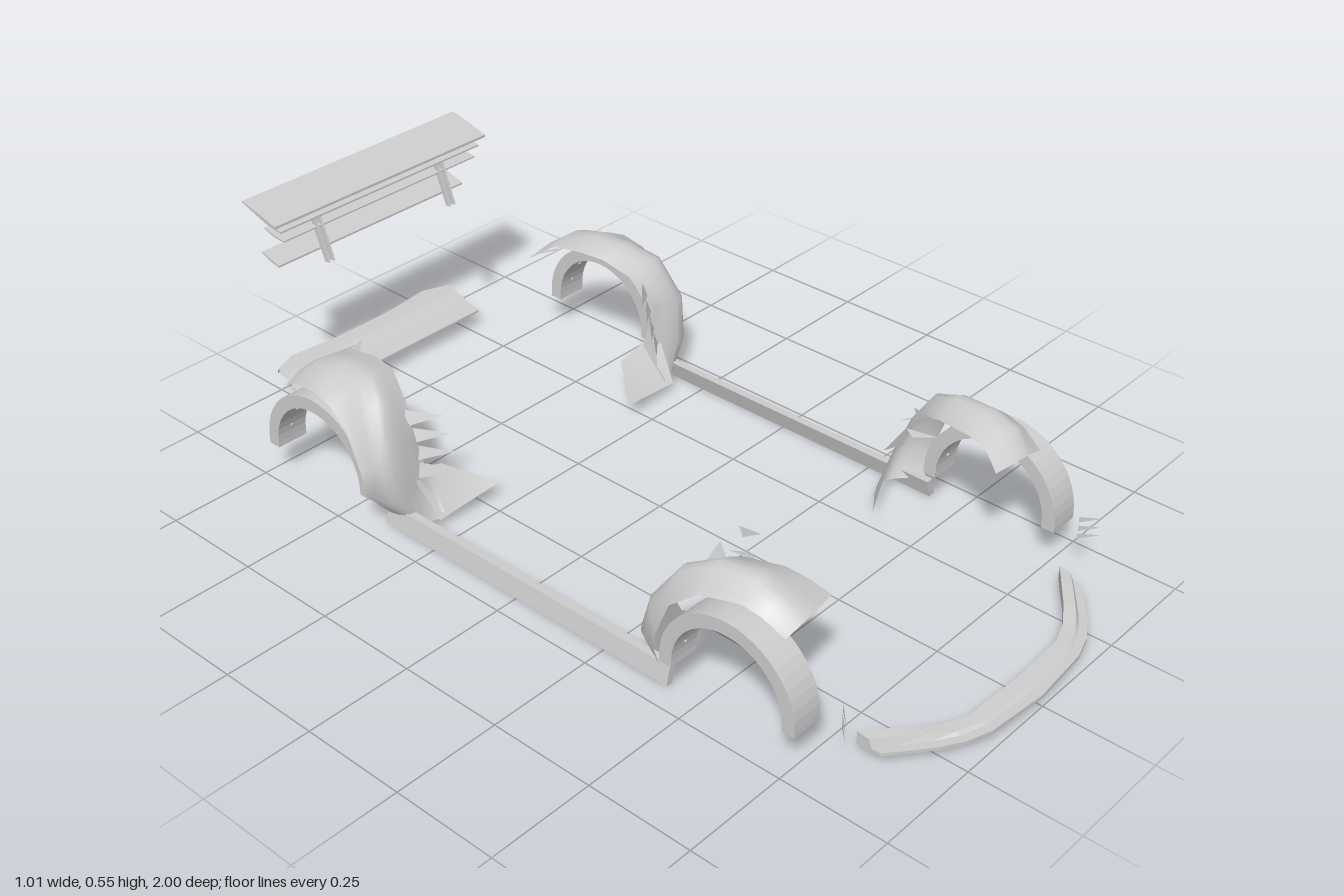
import * as THREE from 'three';

const grey = new THREE.MeshStandardMaterial({ color: 0xcccccc });
grey.name = 'primer grey';
grey.side = THREE.DoubleSide;

function part(name, geometry, parent) {
  const mesh = new THREE.Mesh(geometry, grey);
  mesh.name = name;
  parent.add(mesh);
  return mesh;
}

// Surface through rows of points, smooth or faceted
function skin(rows, smooth) {
  const w = rows[0].length, index = [];
  for (let i = 0; i < rows.length - 1; i++) {
    for (let j = 0; j < w - 1; j++) {
      const a = i * w + j, b = a + w;
      index.push(a, b, a + 1, a + 1, b, b + 1);
    }
  }
  let g = new THREE.BufferGeometry();
  g.setAttribute('position', new THREE.Float32BufferAttribute(rows.flat(2), 3));
  g.setIndex(index);
  if (!smooth) g = g.toNonIndexed();
  g.computeVertexNormals();
  return g;
}

// Each row is lip, crown, inner edge; curved across its width
function fenderShell(rows) {
  return skin(rows.map(row =>
    new THREE.CatmullRomCurve3(row.map(p => new THREE.Vector3(...p)))
      .getPoints(8).map(p => p.toArray())), true);
}

// Extrude a [z, y] outline along x, from x0 to x1
function extrudeX(outline, x0, x1) {
  const shape = new THREE.Shape(outline.map(([z, y]) => new THREE.Vector2(-z, y)));
  const g = new THREE.ExtrudeGeometry(shape, { depth: x1 - x0, bevelEnabled: false });
  return g.rotateY(Math.PI / 2).translate(x0, 0, 0);
}

// Wheel arch flare with a row of rivets on its inner face
function archFlare(name, z, x0, x1, parent) {
  const flare = new THREE.Group();
  flare.name = name;
  const yc = 0.097, ro = 0.168, ri = 0.137, outline = [], inner = [];
  outline.push([z - ro, 0.083]);
  for (let i = 0; i <= 24; i++) {
    const a = Math.PI * (1 - i / 24), c = Math.cos(a), s = Math.sin(a);
    outline.push([z + ro * c, yc + ro * s]);
    inner.unshift([z + ri * c, yc + ri * s]);
  }
  outline.push([z + ro, 0.083], [z + ri, 0.083], ...inner, [z - ri, 0.083]);
  part('archBand', extrudeX(outline, x0, x1), flare);
  for (let i = 0; i < 7; i++) {
    const a = Math.PI * (i + 0.5) / 7;
    const rivet = part('rivet', new THREE.CylinderGeometry(0.004, 0.004, 0.004, 8), flare);
    rivet.position.set((x0 + x1) / 2, yc + (ri - 0.001) * Math.sin(a), z + (ri - 0.001) * Math.cos(a));
    rivet.rotation.x = Math.PI / 2 - a;
  }
  parent.add(flare);
}

// Flat pointed tabs along a fender's inner edge
function tabs(name, list, parent) {
  for (const tri of list) {
    const g = new THREE.BufferGeometry();
    g.setAttribute('position', new THREE.Float32BufferAttribute(tri.flat(), 3));
    g.computeVertexNormals();
    part(name, g, parent);
  }
}

function buildSide(name) {
  const side = new THREE.Group();
  side.name = name;

  archFlare('frontFlare', 0.59, 0.395, 0.47, side);
  archFlare('rearFlare', -0.567, 0.41, 0.488, side);

  part('frontFender', fenderShell([
    [[.42, .25, .69], [.36, .267, .695], [.27, .262, .68]],
    [[.43, .28, .64], [.38, .305, .65], [.29, .29, .64]],
    [[.435, .29, .594], [.38, .326, .594], [.30, .30, .59]],
    [[.45, .273, .503], [.39, .32, .503], [.32, .29, .50]],
    [[.46, .22, .438], [.41, .285, .43], [.36, .25, .43]],
    [[.465, .134, .406], [.43, .19, .365], [.38, .17, .375]],
    [[.46, .09, .40], [.42, .09, .33], [.34, .10, .365]],
    [[.44, .037, .396], [.38, .022, .325], [.25, .042, .395]],
  ]), side);

  part('rearFender', fenderShell([
    [[.46, .24, -.69], [.40, .262, -.695], [.27, .268, -.67]],
    [[.475, .273, -.636], [.40, .305, -.636], [.32, .295, -.63]],
    [[.485, .289, -.556], [.40, .326, -.556], [.32, .31, -.55]],
    [[.49, .275, -.50], [.41, .325, -.476], [.33, .31, -.48]],
    [[.495, .24, -.45], [.44, .30, -.406], [.36, .27, -.41]],
    [[.505, .16, -.40], [.47, .20, -.355], [.38, .20, -.36]],
    [[.50, .10, -.395], [.46, .09, -.34], [.35, .11, -.37]],
    [[.44, .03, -.39], [.41, .012, -.335], [.36, .02, -.30]],
  ]), side);

  // Broad foot reaching inward from the rear fender
  part('rearFenderFoot', skin([
    [[.40, .13, -.37], [.29, .085, -.388]],
    [[.38, .02, -.30], [.215, .043, -.285]],
  ], true), side);

  // Mounting tabs on the inner edges
  const rearTabs = [0.12, 0.16, 0.2, 0.24].map((y, i) =>
    [[.385, y - .012, -.355 - i * .01], [.375, y + .022, -.36 - i * .012], [.315, y + .003, -.295 - i * .015]]);
  rearTabs.push([[.32, .30, -.60], [.32, .29, -.63], [.26, .28, -.665]]);
  tabs('rearFenderTab', rearTabs, side);
  tabs('frontFenderTab', [
    [[.36, .25, .43], [.34, .28, .48], [.29, .27, .42]],
    [[.38, .19, .38], [.37, .15, .38], [.30, .17, .38]],
    [[.275, .322, .51], [.283, .322, .46], [.283, .30, .47]],
    [[.29, .27, .52], [.27, .258, .47], [.29, .258, .44]],
  ], side);

  // Small upright fins ahead of the front wheel
  tabs('cornerFin', [0.1, 0.12, 0.142].map(y =>
    [[.398, y + .007, .812], [.398, y - .007, .812], [.432, y, .846]]), side);

  // Side skirt, leaning outward at the foot
  const skirt = new THREE.Shape([[.417, .045], [.436, .045], [.446, .002], [.43, 0]]
    .map(p => new THREE.Vector2(...p)));
  part('sideSkirt', new THREE.ExtrudeGeometry(skirt, { depth: 0.82, bevelEnabled: false })
    .translate(0, 0, -0.4), side);
  return side;
}

// Front lip: a stepped section swept along a straight bow with angled ends
function buildSplitter(parent) {
  const half = [[.345, .81, .865, .05], [.31, .836, .895, .049], [.255, .878, .938, .044],
    [.205, .91, .967, .037], [.15, .93, .985, .035], [0, .936, .998, .035]];
  const stations = [...half.map(([x, ...r]) => [-x, ...r]), ...half.slice(0, -1).reverse()];
  const rows = stations.map(([x, zi, zo, y]) => {
    const m = (zi + zo) / 2;
    return [[zi, y], [m, y - .003], [m + .008, .028], [zo, .028], [zo, .02], [zi, .02], [zi, y]]
      .map(([z, h]) => [x, h, z]);
  });
  const cap = ([x, zi, zo]) => Array(7).fill([x, .028, (zi + zo) / 2]);
  rows.unshift(cap(stations[0]));
  rows.push(cap(stations[stations.length - 1]));
  part('frontSplitter', skin(rows, false), parent);
}

function buildWing(parent) {
  const wing = new THREE.Group();
  wing.name = 'rearWing';
  // Half span, front z and y, rear z and y, thickness
  const blades = [
    [.322, -.857, .512, -.968, .542, .010],
    [.304, -.863, .492, -.952, .512, .007],
    [.294, -.868, .464, -.935, .476, .006],
    [.285, -.908, .382, -.966, .400, .008],
  ];
  for (const [w, z0, y0, z1, y1, t] of blades) {
    const zm = (z0 + z1) / 2, ym = (y0 + y1) / 2 - .004;
    part('wingBlade', extrudeX([[z0, y0], [zm, ym], [z1, y1], [z1, y1 + .003],
      [zm, ym + t], [z0, y0 + t * .6]], -w, w), wing);
  }
  // Paired uprights
  for (const s of [-1, 1]) {
    for (const x of [.181, .195]) {
      part('wingUpright', extrudeX([[-.838, .385], [-.85, .385], [-.902, .515], [-.885, .515]],
        s * x - .003, s * x + .003), wing);
    }
  }
  parent.add(wing);
}

function buildDiffuser(parent) {
  const diffuser = new THREE.Group();
  diffuser.name = 'rearDiffuser';
  // Stepped panel with a wavy trailing edge
  const half = [[.275, -.972], [.21, -.998], [.10, -.985], [0, -.983]];
  const edge = [...half.map(([x, z]) => [-x, z]), ...half.slice(0, -1).reverse()];
  part('diffuserPanel', skin(edge.map(([x, z]) =>
    [[x, .05, -.862], [x, .056, -.90], [x, .078, -.945], [x, .08, z], [x, .07, z],
      [x, .068, -.945], [x, .046, -.90], [x, .044, -.862], [x, .05, -.862]]), false), diffuser);
  for (let i = -3; i <= 3; i++) {
    const x = i * .08;
    part('diffuserFin', extrudeX([[-.872, .046], [-.94, .068], [-.985, .072], [-.985, .036], [-.93, .038]],
      x - .0015, x + .0015), diffuser);
  }
  parent.add(diffuser);
}

export function createModel() {
  const model = new THREE.Group();
  model.name = 'carBodyKit';
  model.add(buildSide('leftSide'));
  const right = buildSide('rightSide');
  right.scale.x = -1;
  model.add(right);
  buildSplitter(model);
  buildWing(model);
  buildDiffuser(model);
  return model;
}
